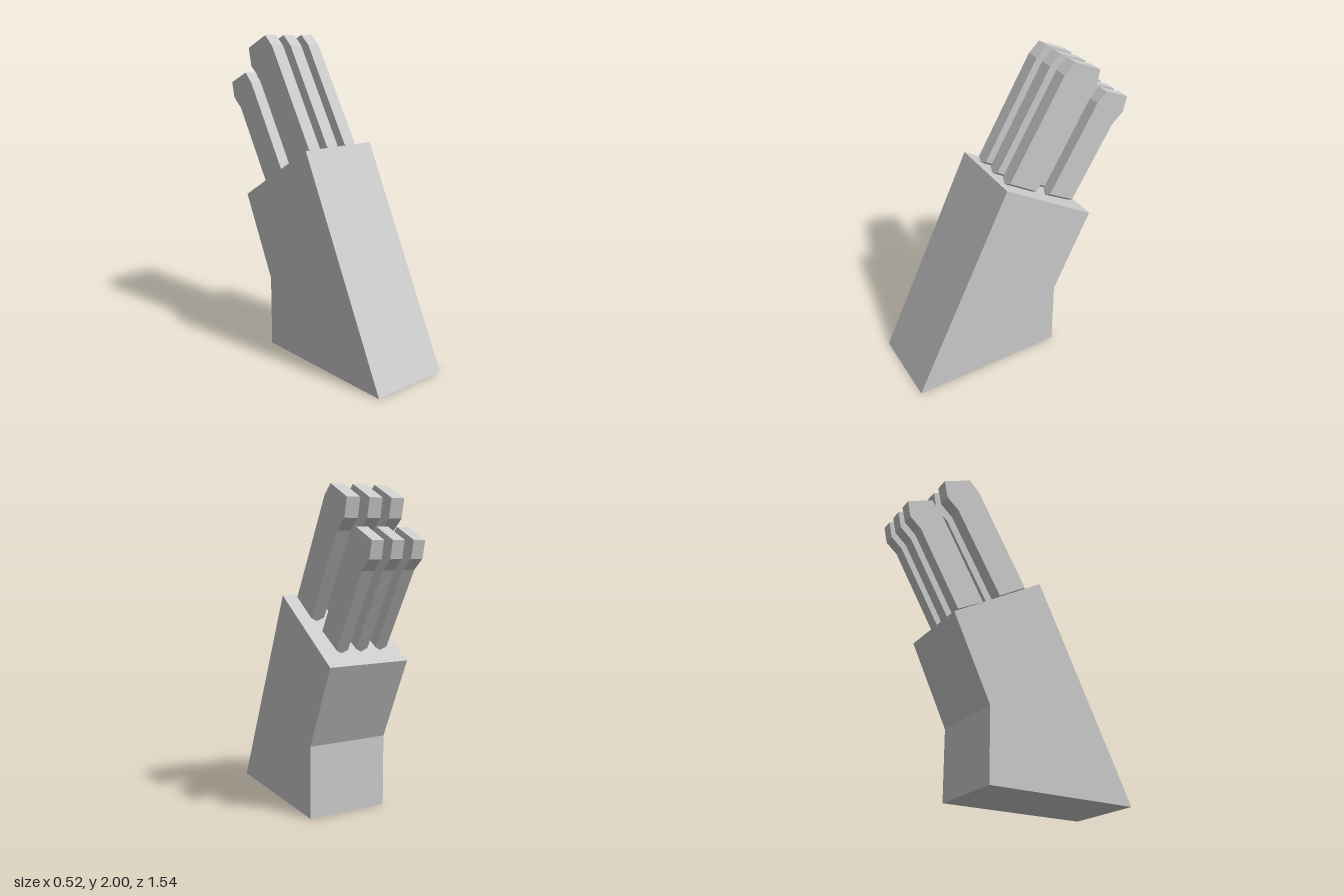
import * as THREE from 'three';

const material = new THREE.MeshStandardMaterial({ color: 0xcccccc, flatShading: true });

// Extrudes a side profile of [z, y] points across x, centred on x = 0
function extrudeProfile(points, width, steps = 1) {
  const shape = new THREE.Shape(points.map(([z, y]) => new THREE.Vector2(-z, y)));
  const geometry = new THREE.ExtrudeGeometry(shape, { depth: width, steps, bevelEnabled: false });
  geometry.translate(0, 0, -width / 2);
  geometry.rotateY(Math.PI / 2);
  return geometry;
}

// Handle whose lower end is drawn out to a ridge along its middle;
// the first two profile points are the lower shoulders
function handleGeometry(points, width) {
  const geometry = extrudeProfile(points, width, 2);
  const pos = geometry.attributes.position;
  for (let i = 0; i < pos.count; i++) {
    if (Math.abs(pos.getX(i)) > 1e-4) continue;
    const isShoulder = points.slice(0, 2).some(([z, y]) =>
      Math.hypot(pos.getZ(i) - z, pos.getY(i) - y) < 1e-4);
    if (isShoulder) pos.setXYZ(i, 0, pos.getY(i) - 0.02, pos.getZ(i) + 0.0115);
  }
  geometry.computeVertexNormals();
  return geometry;
}

export function createModel() {
  const model = new THREE.Group();
  model.name = 'knifeBlock';

  // Leaning block with an upright lower back
  const block = new THREE.Mesh(extrudeProfile([
    [0.77, 0], [0.13, 1.34], [-0.48, 0.975], [-0.235, 0.455], [-0.235, 0],
  ], 0.524), material);
  block.name = 'block';
  model.add(block);

  // Two rows of three handles
  const rows = [
    {
      name: 'frontHandle', width: 0.086, xs: [-0.143, 0.002, 0.148],
      profile: [[-0.121, 1.217], [0.068, 1.331], [-0.285, 1.937], [-0.355, 2],
        [-0.535, 1.918], [-0.511, 1.805], [-0.43, 1.737]],
    },
    {
      name: 'rearHandle', width: 0.076, xs: [-0.127, 0.007, 0.138],
      profile: [[-0.402, 1.056], [-0.23, 1.151], [-0.545, 1.695], [-0.607, 1.757],
        [-0.768, 1.686], [-0.746, 1.584], [-0.672, 1.521]],
    },
  ];
  for (const { name, width, xs, profile } of rows) {
    const geometry = handleGeometry(profile, width);
    xs.forEach((x, i) => {
      const handle = new THREE.Mesh(geometry, material);
      handle.name = `${name}${i + 1}`;
      handle.position.x = x;
      model.add(handle);
    });
  }
  return model;
}
